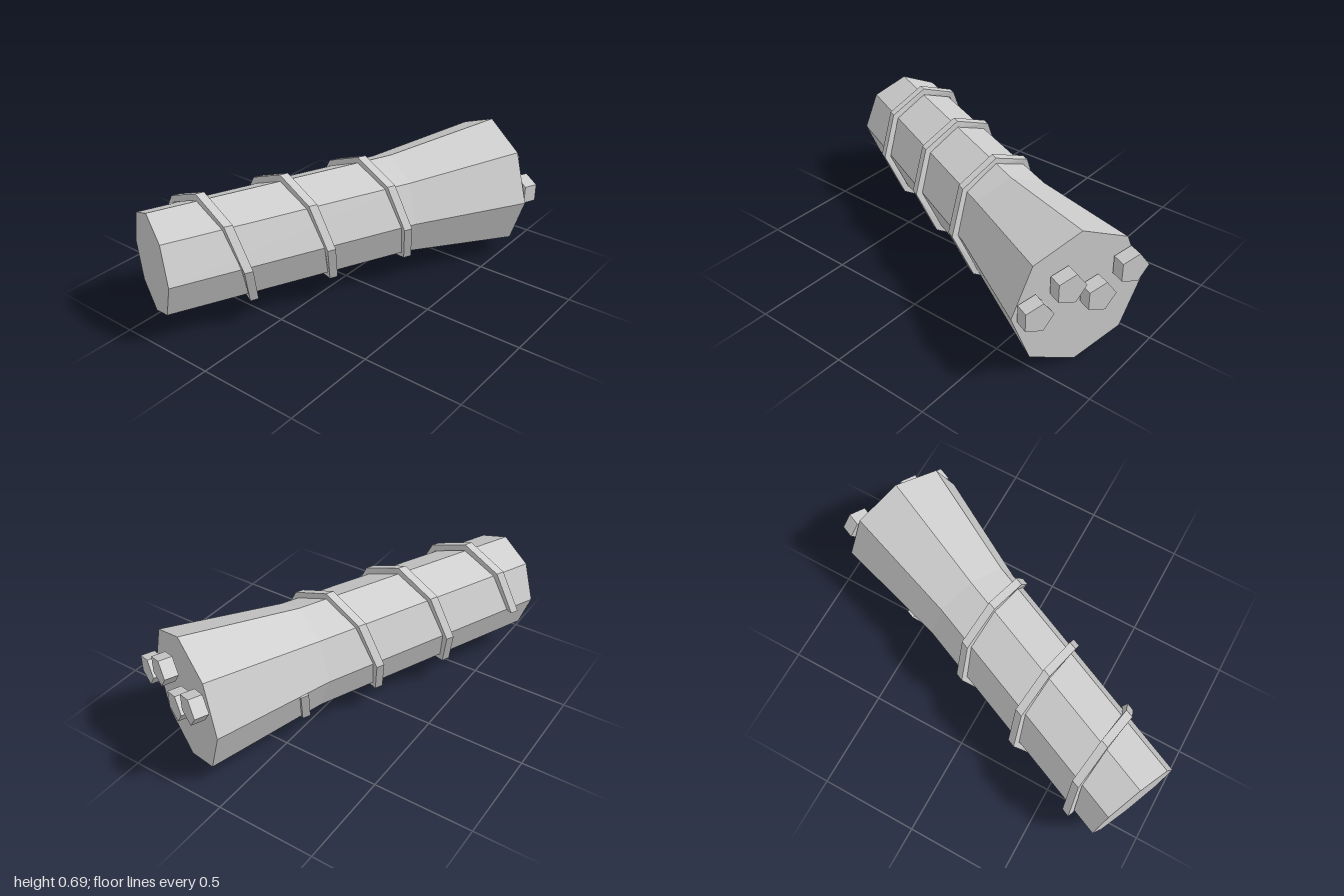
import * as THREE from 'three';

// Faceted copy with one normal per face
function faceted(geo) {
  const g = geo.index ? geo.toNonIndexed() : geo;
  g.computeVertexNormals();
  return g;
}

// Square-section strap wound as an eight-sided helix around the x axis
function helixStrap({ start, pitch, turns, inner, outer, width, squash }) {
  const steps = turns * 8, pos = [], idx = [];
  for (let i = 0; i <= steps; i++) {
    const a = -i * Math.PI / 4, x = start - pitch * i / 8, h = width / 2;
    for (const [r, dx] of [[outer, h], [outer, -h], [inner, -h], [inner, h]]) {
      pos.push(x + dx, r * Math.sin(a), -r * Math.cos(a) * squash);
    }
  }
  for (let i = 0; i < steps; i++) {
    for (let k = 0; k < 4; k++) {
      const a = i * 4 + k, b = i * 4 + (k + 1) % 4;
      idx.push(a, a + 4, b + 4, a, b + 4, b);
    }
  }
  const e = steps * 4;
  idx.push(0, 1, 2, 0, 2, 3, e, e + 2, e + 1, e, e + 3, e + 2);
  const g = new THREE.BufferGeometry();
  g.setAttribute('position', new THREE.Float32BufferAttribute(pos, 3));
  g.setIndex(idx);
  return faceted(g);
}

export function createModel() {
  const model = new THREE.Group();
  model.name = 'wrappedLimb';
  const grey = new THREE.MeshStandardMaterial({ color: 0xcccccc, flatShading: true });
  grey.name = 'pale grey';

  // The limb lies along local x, turned toward the front
  const limb = new THREE.Group();
  limb.name = 'limb';
  limb.position.set(-0.893, 0.34, -0.42);
  limb.rotation.y = -0.416;
  model.add(limb);

  const add = (geo, name) => {
    const m = new THREE.Mesh(geo, grey);
    m.name = name;
    limb.add(m);
    return m;
  };

  // Octagonal trunk flaring at the wide end
  const profile = [[0, 0], [0.256, 0], [0.268, 1.249], [0.344, 1.856], [0, 1.856]]
    .map(([r, s]) => new THREE.Vector2(r, s));
  const trunk = new THREE.LatheGeometry(profile, 8);
  trunk.rotateZ(-Math.PI / 2);
  trunk.scale(1, 1, 0.95);
  add(faceted(trunk), 'trunk');

  // Spiral strap, three turns
  add(helixStrap({
    start: 1.395, pitch: 0.415, turns: 3, inner: 0.262, outer: 0.296, width: 0.042, squash: 0.96,
  }), 'spiralStrap');

  // Four pentagonal studs on the wide end, points toward the back
  const stud = new THREE.CylinderGeometry(0.0755, 0.0755, 0.068, 5);
  stud.rotateY(Math.PI);
  stud.rotateZ(-Math.PI / 2);
  const studGeo = faceted(stud);
  [[0.09, 0.128], [-0.221, 0.128], [0.243, 0.033], [-0.063, 0.033]].forEach(([z, y], i) => {
    add(studGeo, 'stud' + (i + 1)).position.set(1.856 + 0.046, y, z);
  });

  return model;
}
